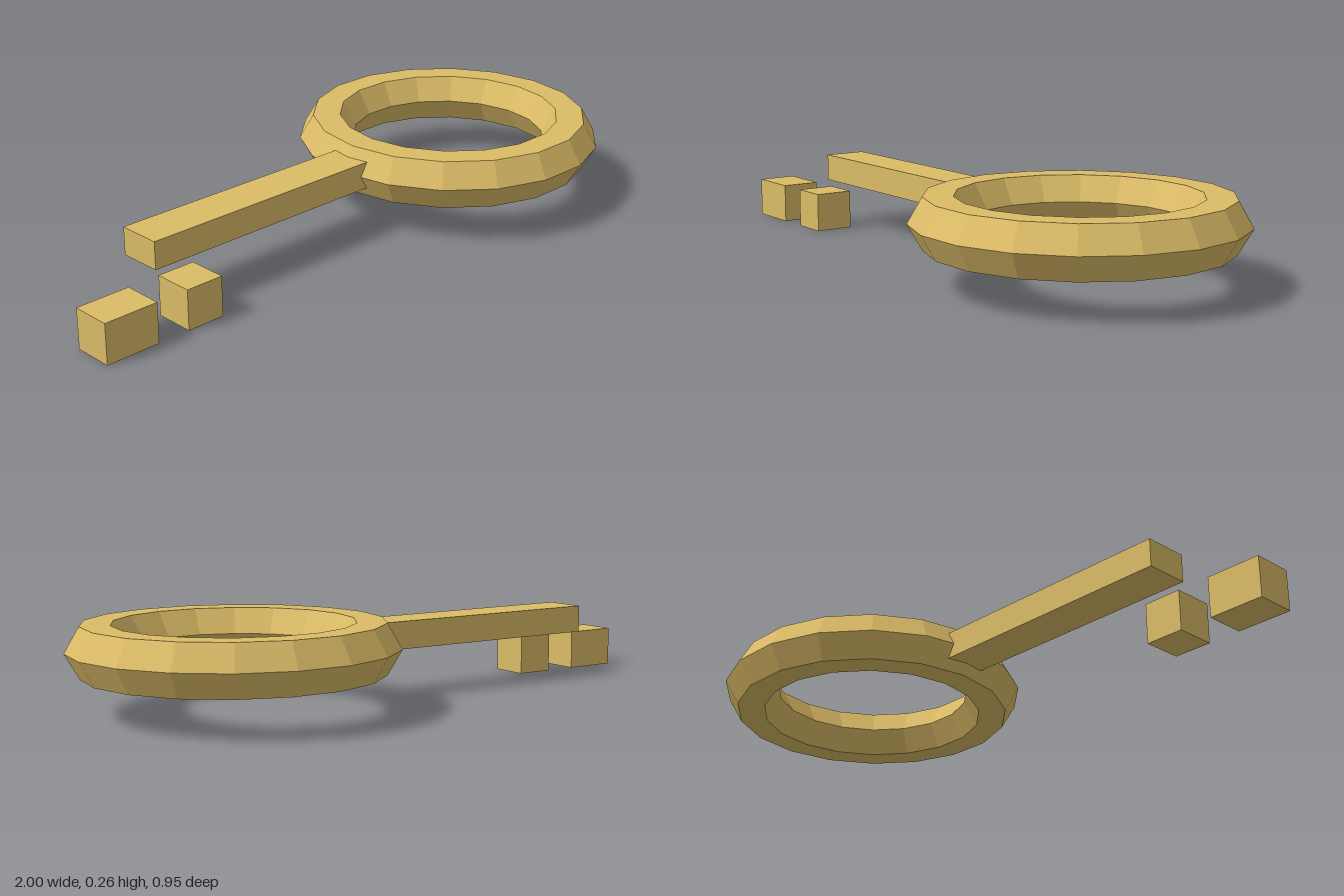
import * as THREE from 'three';

export function createModel() {
  const model = new THREE.Group();
  model.name = 'key';
  const gold = new THREE.MeshStandardMaterial({ color: 0xdbbb67, flatShading: true });

  const add = (name, geometry, x, y, z) => {
    const mesh = new THREE.Mesh(geometry, gold);
    mesh.name = name;
    mesh.position.set(x, y, z);
    model.add(mesh);
    return mesh;
  };
  // Box given by its lower and upper corners
  const box = (name, [x0, y0, z0], [x1, y1, z1]) =>
    add(name, new THREE.BoxGeometry(x1 - x0, y1 - y0, z1 - z0),
      (x0 + x1) / 2, (y0 + y1) / 2, (z0 + z1) / 2);

  // Ring handle: hexagonal tube around 18 sides, lying flat
  const ring = new THREE.TorusGeometry(0.394, 0.0866, 6, 18);
  ring.rotateX(-Math.PI / 2);
  add('ringHandle', ring, 0.52, 0.187, 0);

  // Shaft, ending inside the ring
  box('shaft', [-0.74, 0.145, -0.068], [0.1, 0.23, 0.068]);

  // Two separate teeth below and in front of the shaft
  box('outerTooth', [-1, 0, 0.0625], [-0.829, 0.123, 0.186]);
  box('innerTooth', [-0.727, 0, 0.0625], [-0.606, 0.123, 0.186]);

  return model;
}
